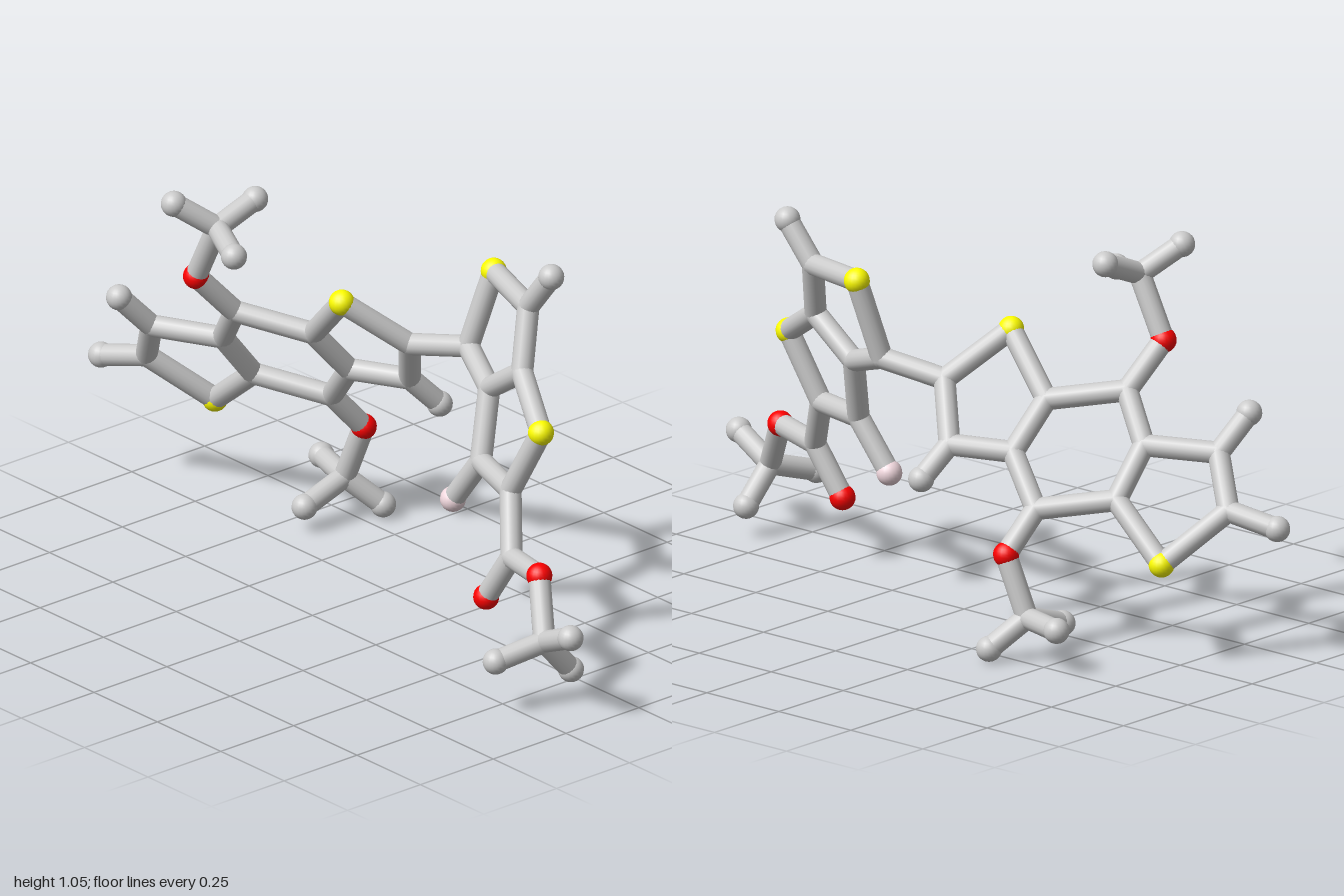
import * as THREE from 'three';

const BALL = 0.034, STICK = 0.029;
const material = (color) => new THREE.MeshStandardMaterial({ color });
const MATERIALS = {
  carbon: material(0xcccccc),
  hydrogen: material(0xcccccc),
  sulfur: material(0xffff00),
  oxygen: material(0xff0000),
  fluorine: material(0xf2d9df),
};

// The two flat ring systems: z follows from x and y
const leftPlane = (x, y) => -0.617 - 0.478 * x + 0.749 * y;
const rightPlane = (x, y) => 0.004 + 0.288 * x - 0.3 * y;

// name: [element, x, y, z or plane]
const ATOMS = {
  // left: three fused rings
  a1: ['carbon', -0.834, 0.417, leftPlane],
  a2: ['carbon', -0.75, 0.545, leftPlane],
  a3: ['carbon', -0.567, 0.548, leftPlane],
  a4: ['carbon', -0.56, 0.42, leftPlane],
  a5: ['carbon', -0.47, 0.667, leftPlane],
  a6: ['carbon', -0.29, 0.632, leftPlane],
  a7: ['carbon', -0.267, 0.508, leftPlane],
  a8: ['carbon', -0.38, 0.385, leftPlane],
  a9: ['carbon', -0.03, 0.658, leftPlane],
  a10: ['carbon', -0.11, 0.513, leftPlane],
  aS1: ['sulfur', -0.733, 0.285, leftPlane],
  aS2: ['sulfur', -0.134, 0.782, leftPlane],
  aO1: ['oxygen', -0.503, 0.786, leftPlane],
  aO2: ['oxygen', -0.358, 0.278, leftPlane],
  aH1: ['hydrogen', -0.967, 0.386, leftPlane],
  aH2: ['hydrogen', -0.78, 0.64, leftPlane],
  aH3: ['hydrogen', -0.08, 0.43, leftPlane],
  // upper methyl
  m1: ['carbon', -0.422, 0.95, 0.21],
  m1a: ['hydrogen', -0.487, 1.022, 0.302],
  m1b: ['hydrogen', -0.289, 0.929, 0.268],
  m1c: ['hydrogen', -0.41, 1.0, 0.09],
  // lower methyl
  m2: ['carbon', -0.422, 0.118, -0.228],
  m2a: ['hydrogen', -0.562, 0.12, -0.27],
  m2b: ['hydrogen', -0.422, 0.072, -0.09],
  m2c: ['hydrogen', -0.358, 0.038, -0.304],
  // right: two fused rings
  b1: ['carbon', 0.14, 0.693, rightPlane],
  b2: ['carbon', 0.39, 0.893, rightPlane],
  b3: ['carbon', 0.433, 0.738, rightPlane],
  b4: ['carbon', 0.289, 0.642, rightPlane],
  b5: ['carbon', 0.508, 0.46, rightPlane],
  b6: ['carbon', 0.33, 0.467, rightPlane],
  bS1: ['sulfur', 0.18, 0.905, rightPlane],
  bS2: ['sulfur', 0.594, 0.642, rightPlane],
  bF: ['fluorine', 0.235, 0.332, rightPlane],
  bH: ['hydrogen', 0.47, 1.0, rightPlane],
  // ester tail
  b7: ['carbon', 0.588, 0.316, rightPlane],
  bO1: ['oxygen', 0.508, 0.182, rightPlane],
  bO2: ['oxygen', 0.746, 0.328, rightPlane],
  m3: ['carbon', 0.834, 0.188, 0.18],
  m3a: ['hydrogen', 0.964, 0.248, 0.203],
  m3b: ['hydrogen', 0.786, 0.152, 0.305],
  m3c: ['hydrogen', 0.845, 0.09, 0.098],
};

// Runs of atoms joined one after the other
const CHAINS = [
  'aH1 a1 a2 a3 a4 aS1 a1', 'a2 aH2',
  'a3 a5 a6 a7 a8 a4', 'a6 aS2 a9 a10 a7', 'a10 aH3',
  'a5 aO1 m1 m1a', 'm1b m1 m1c',
  'a8 aO2 m2 m2a', 'm2b m2 m2c',
  'a9 b1 bS1 b2 b3 b4 b1', 'b2 bH',
  'b3 bS2 b5 b6 b4', 'b6 bF',
  'b5 b7 bO1', 'b7 bO2 m3 m3a', 'm3b m3 m3c',
];

export function createModel() {
  const model = new THREE.Group();
  const atoms = new THREE.Group();
  const bonds = new THREE.Group();
  atoms.name = 'atoms';
  bonds.name = 'bonds';
  model.add(atoms, bonds);

  // Balls; carbons are only rounded joints as wide as the sticks
  const ball = new THREE.SphereGeometry(BALL, 20, 14);
  const joint = new THREE.SphereGeometry(STICK, 16, 12);
  const position = {};
  for (const [key, [element, x, y, z]] of Object.entries(ATOMS)) {
    position[key] = new THREE.Vector3(x, y, typeof z === 'function' ? z(x, y) : z);
    const mesh = new THREE.Mesh(element === 'carbon' ? joint : ball, MATERIALS[element]);
    mesh.name = element + 'Atom';
    mesh.position.copy(position[key]);
    atoms.add(mesh);
  }

  // Sticks
  const up = new THREE.Vector3(0, 1, 0);
  for (const chain of CHAINS) {
    const keys = chain.split(' ');
    for (let i = 1; i < keys.length; i++) {
      const from = position[keys[i - 1]], to = position[keys[i]];
      const along = to.clone().sub(from);
      const geometry = new THREE.CylinderGeometry(STICK, STICK, along.length(), 16, 1, true);
      const mesh = new THREE.Mesh(geometry, MATERIALS.carbon);
      mesh.name = 'bond';
      mesh.position.copy(from).add(to).multiplyScalar(0.5);
      mesh.quaternion.setFromUnitVectors(up, along.normalize());
      bonds.add(mesh);
    }
  }
  return model;
}
